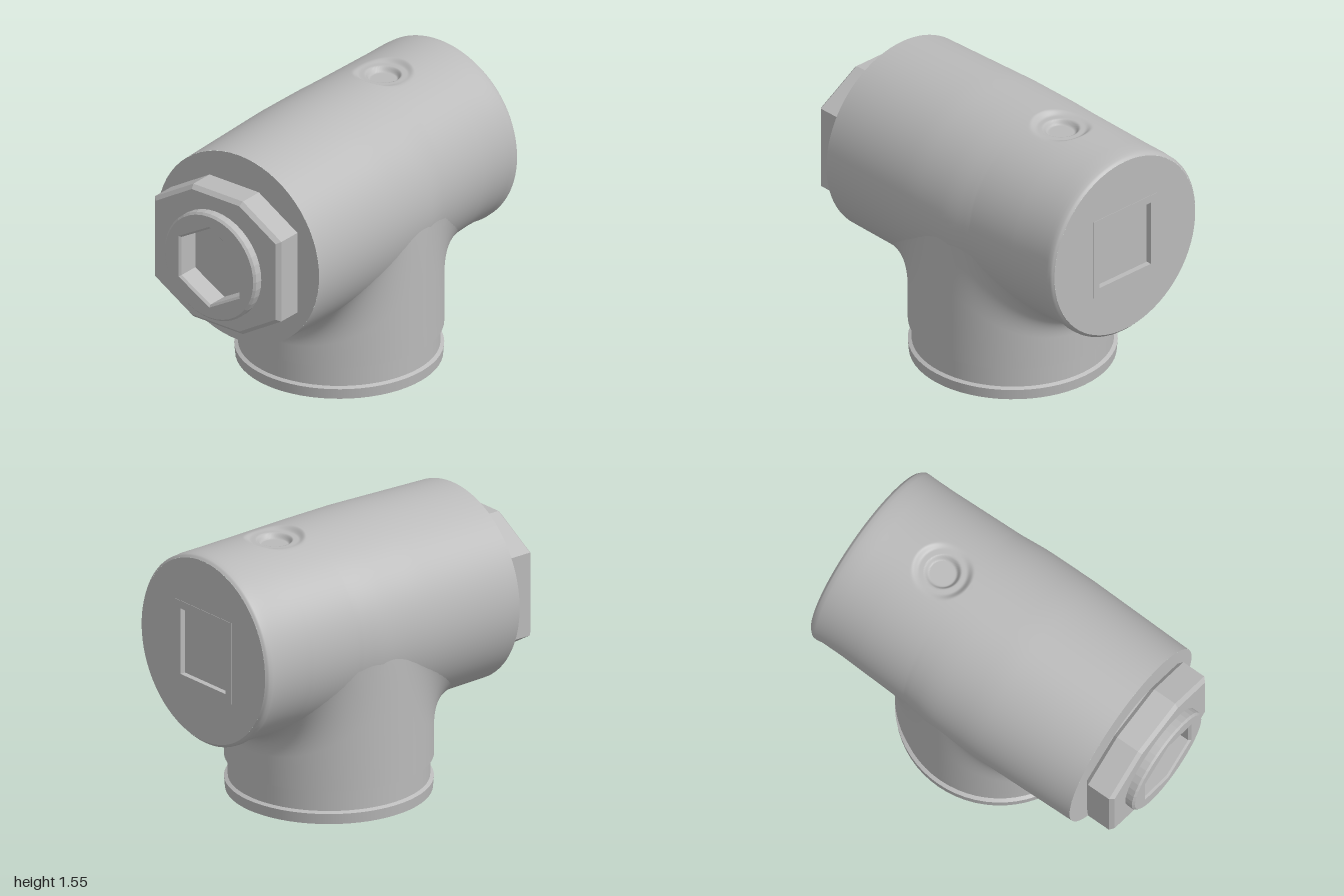
import * as THREE from 'three';

const metal = new THREE.MeshStandardMaterial({ color: 0xbababa });
metal.name = 'cast grey';

// Body stations along x: [x, axis height, radius]
const STATIONS = [[-0.75, 0.975, 0.557], [-0.1, 0.98, 0.572], [0.2, 0.983, 0.568],
  [0.36, 1.0, 0.55], [0.8, 1.01, 0.535], [0.93, 1.01, 0.535], [0.955, 1.003, 0.538],
  [0.98, 1.003, 0.537], [0.998, 1.003, 0.52]];
const BRANCH_X = 0.12, BRANCH_R = 0.565;

function bodyAt(x) {
  let i = 0;
  while (i < STATIONS.length - 2 && x > STATIONS[i + 1][0]) i++;
  const [a, b] = [STATIONS[i], STATIONS[i + 1]];
  const t = THREE.MathUtils.clamp((x - a[0]) / (b[0] - a[0]), 0, 1);
  return { cy: a[1] + (b[1] - a[1]) * t, r: a[2] + (b[2] - a[2]) * t };
}

// Underside height of the body at a given x, z
function underside(x, z) {
  const { cy, r } = bodyAt(x);
  return cy - Math.sqrt(Math.max(0, r * r - z * z));
}

// Smooth surface from rows of closed loops
function loft(rows, cols, point) {
  const pos = [], idx = [];
  for (let i = 0; i < rows; i++) {
    for (let j = 0; j < cols; j++) {
      pos.push(...point(i, (j / cols) * Math.PI * 2));
      if (i === rows - 1) continue;
      const a = i * cols + j, b = i * cols + (j + 1) % cols;
      idx.push(a, b, a + cols, b, b + cols, a + cols);
    }
  }
  const g = new THREE.BufferGeometry();
  g.setAttribute('position', new THREE.Float32BufferAttribute(pos, 3));
  g.setIndex(idx);
  g.computeVertexNormals();
  return g;
}

function polygon(points, Type = THREE.Shape) {
  return new Type(points.map(([x, y]) => new THREE.Vector2(x, y)));
}
function ring(n, r, start = 0) {
  return Array.from({ length: n }, (_, i) => {
    const a = start + (i / n) * Math.PI * 2;
    return [Math.cos(a) * r, Math.sin(a) * r];
  });
}
function square(h) {
  return [[-h, -h], [h, -h], [h, h], [-h, h]];
}
function plate(outer, hole) {
  const s = polygon(outer);
  if (hole) s.holes.push(polygon(hole, THREE.Path));
  return s;
}

// Extrude a (z, y) outline along x
function extrudeX(shape, x0, x1, y, bevel = 0) {
  const g = new THREE.ExtrudeGeometry(shape, {
    depth: x1 - x0 - 2 * bevel, bevelEnabled: bevel > 0, bevelSize: bevel,
    bevelThickness: bevel, bevelOffset: -bevel, bevelSegments: 1,
  });
  return g.rotateY(Math.PI / 2).translate(x0 + bevel, y, 0);
}
function faceX(shape, x, y, dir) {
  return new THREE.ShapeGeometry(shape).rotateY(dir * Math.PI / 2).translate(x, y, 0);
}

export function createModel() {
  const group = new THREE.Group();
  const add = (name, geometry) => {
    const m = new THREE.Mesh(geometry, metal);
    m.name = name;
    group.add(m);
  };

  // Horizontal barrel, finer near the shallow drilled spot on top
  const xs = [];
  for (let x = -0.75; x < 0.33; x += 0.06) xs.push(x);
  for (let x = 0.33; x < 0.68; x += 0.006) xs.push(x);
  xs.push(0.72, 0.8, 0.87, 0.93, 0.955, 0.98, 0.989, 0.998);
  const { lerp, smoothstep } = THREE.MathUtils;
  add('barrel', loft(xs.length, 144, (i, t) => {
    const x = xs[i], { cy, r } = bodyAt(x);
    const a = t - 0.8 * Math.sin(t);
    let y = cy + r * Math.cos(a);
    const z = r * Math.sin(a);
    if (y > cy) {
      const d = Math.hypot(x - 0.5, z);
      y = lerp(Math.min(y, 1.523), y, smoothstep(d, 0.13, 0.17));
      y = lerp(1.495, y, smoothstep(d, 0.075, 0.1));
    }
    return [x, y, z];
  }));

  // Barrel end faces
  add('plainEndFace', faceX(plate(ring(64, 0.557)), -0.75, 0.975, -1));
  add('socketEndFace', faceX(plate(ring(72, 0.52), square(0.21)), 0.998, 1.003, 1));

  // Shallow square socket with a slightly raised rim
  add('squareSocketRim', extrudeX(plate(square(0.235), square(0.19)), 0.95, 1.0, 1.003));
  add('squareSocketFloor', faceX(plate(square(0.2)), 0.968, 1.003, 1));

  // Branch wall blending into the barrel
  const blend = 16;
  add('branch', loft(blend + 2, 160, (i, t) => {
    const c = Math.cos(t), s = Math.sin(t);
    const x1 = BRANCH_X + BRANCH_R * c, z = -BRANCH_R * s;
    if (i === 0) return [x1, 0.19, z];
    const f = 0.12 + 0.18 * s * s;
    const y1 = underside(x1, z);
    const x2 = x1 + f * c, y2 = underside(x2, z) + 0.002;
    const y0 = y1 - f;
    const u = (i - 1) / blend, v = 1 - u;
    return [
      (1 - u * u) * x1 + u * u * x2,
      v * v * y0 + 2 * u * v * y1 + u * u * y2,
      z * (1 - 0.003 * u * u),
    ];
  }));

  // Grooved foot: each band is separate so its edges stay crisp
  const bands = [[[0, 0], [0.56, 0]], [[0.56, 0], [0.565, 0.06]], [[0.565, 0.06], [0.545, 0.07]],
    [[0.545, 0.07], [0.545, 0.19]], [[0.545, 0.19], [0.565, 0.19]]];
  bands.forEach((band, i) => {
    const g = new THREE.LatheGeometry(band.map(([r, y]) => new THREE.Vector2(r, y)), 64);
    add('footBand' + (i + 1), g.translate(BRANCH_X, 0, 0));
  });

  // Hexagonal nut with its top and bottom corners cut off
  const nut = [[0.435, -0.24], [0.435, 0.24], [0.17, 0.4], [-0.17, 0.4],
    [-0.435, 0.24], [-0.435, -0.24], [-0.17, -0.4], [0.17, -0.4]];
  add('nutNeck', extrudeX(plate(ring(48, 0.37)), -0.78, -0.75, 0.975));
  add('nut', extrudeX(plate(nut, ring(32, 0.27)), -0.945, -0.762, 0.975, 0.022));

  // Collar with a hexagonal socket
  add('collar', extrudeX(plate(ring(40, 0.315), ring(6, 0.23, Math.PI / 6)), -1, -0.85, 0.955, 0.012));
  add('hexSocketFloor', faceX(plate(ring(32, 0.29)), -0.87, 0.955, -1));

  return group;
}
